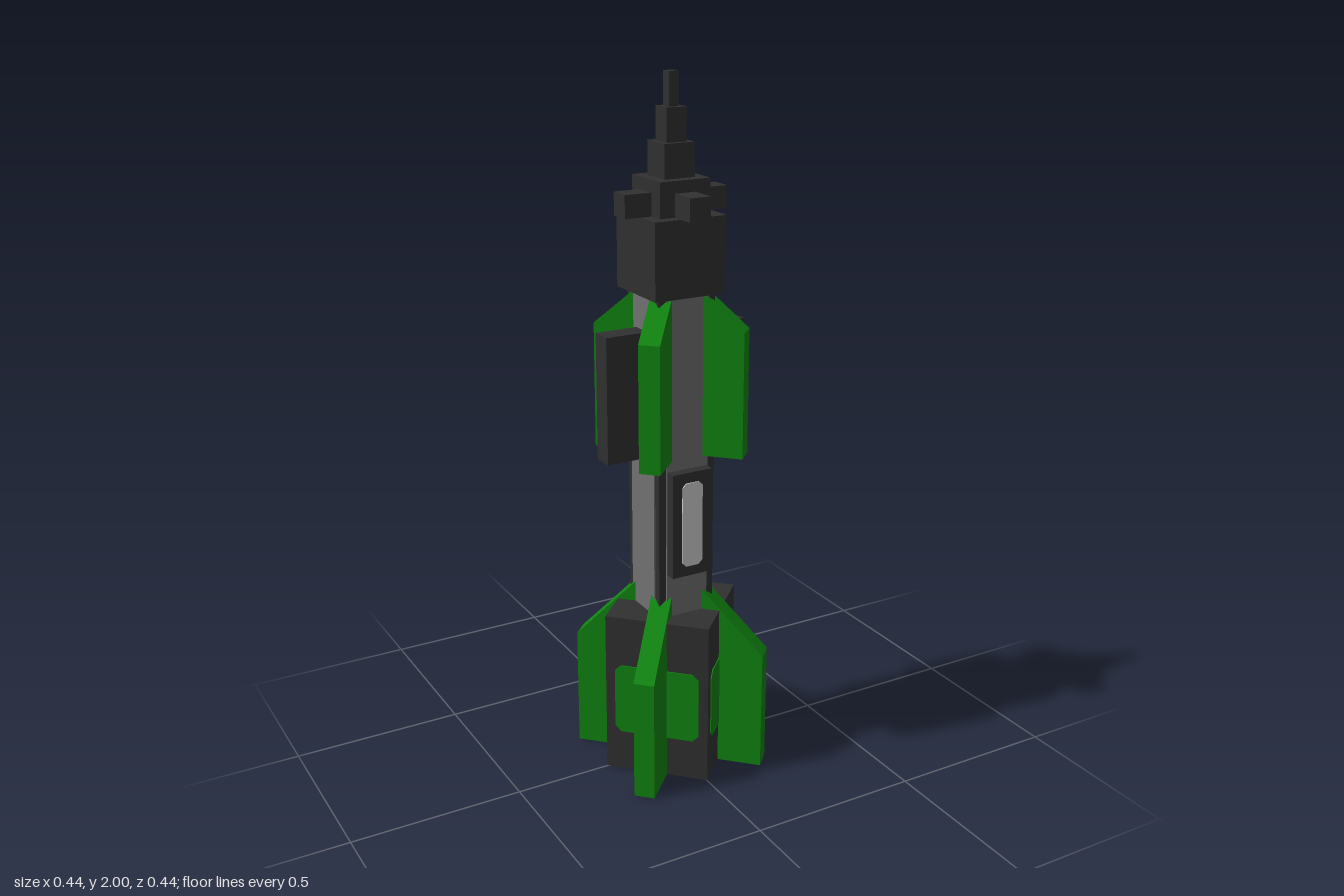
import * as THREE from 'three';

const material = (name, color) => {
  const m = new THREE.MeshStandardMaterial({ color });
  m.name = name;
  return m;
};

export function createModel() {
  const dark = material('charcoal', 0x303030);
  const grey = material('midGrey', 0x707070);
  const light = material('paleGrey', 0xcfcfcf);
  const green = material('green', 0x118411);

  const root = new THREE.Group();
  root.name = 'rocket';

  const add = (parent, name, geometry, mat, x = 0, y = 0, z = 0) => {
    const mesh = new THREE.Mesh(geometry, mat);
    mesh.name = name;
    mesh.position.set(x, y, z);
    parent.add(mesh);
    return mesh;
  };

  // Box given by its width, depth and vertical span
  const box = (parent, name, mat, w, d, y0, y1, x = 0, z = 0) =>
    add(parent, name, new THREE.BoxGeometry(w, y1 - y0, d), mat, x, (y0 + y1) / 2, z);

  // Thin upright plate with clipped corners, facing +z
  const plate = (parent, name, mat, w, y0, y1, clip, z, depth = 0.005) => {
    const a = w / 2, b = (y1 - y0) / 2;
    const pts = [[-a + clip, -b], [a - clip, -b], [a, -b + clip], [a, b - clip],
      [a - clip, b], [-a + clip, b], [-a, b - clip], [-a, -b + clip]];
    const shape = new THREE.Shape(pts.map(p => new THREE.Vector2(...p)));
    const geo = new THREE.ExtrudeGeometry(shape, { depth, bevelEnabled: false });
    return add(parent, name, geo, mat, 0, (y0 + y1) / 2, z);
  };

  // Fin in the local x/y plane, reaching outwards along +x
  const fin = (parent, name, inner, outer, bottom, shoulder, top) => {
    const t = 0.06, tip = 0.1;
    const shape = new THREE.Shape([[inner, bottom], [outer, bottom], [outer, shoulder],
      [tip, top], [inner, top]].map(p => new THREE.Vector2(...p)));
    const geo = new THREE.ExtrudeGeometry(shape, { depth: t, bevelEnabled: false });
    return add(parent, name, geo, green, 0, 0, -t / 2);
  };

  // Diamond-set engine block with an eight-sided nozzle cover
  const side = 0.305;
  box(root, 'engineBlock', dark, side, side, 0.002, 0.49).rotation.y = Math.PI / 4;
  add(root, 'nozzle', new THREE.CylinderGeometry(0.066, 0.066, 0.006, 8), grey, 0, 0.003, 0);

  // Column: dark core with grey faces, leaving dark corners
  box(root, 'columnCore', dark, 0.174, 0.174, 0.48, 1.42);
  for (let i = 0; i < 4; i++) {
    const face = new THREE.Group();
    face.name = 'columnSide';
    face.rotation.y = i * Math.PI / 2;
    root.add(face);
    box(face, 'columnFace', grey, 0.13, 0.01, 0.48, 1.42, 0, 0.086);

    // Framed windows on the front and back
    if (i % 2 === 0) {
      box(face, 'windowFrame', dark, 0.124, 0.04, 0.62, 0.93, 0, 0.1);
      plate(face, 'window', light, 0.064, 0.65, 0.9, 0.012, 0.118);
    } else {
      // Side pods
      box(face, 'sidePod', dark, 0.062, 0.14, 0.96, 1.32, 0, 0.145);
    }

    // Hatch on the back
    if (i === 2) {
      box(face, 'hatchFrame', dark, 0.1, 0.006, 0.955, 1.2, 0, 0.091);
      plate(face, 'hatch', light, 0.094, 0.975, 1.165, 0.004, 0.092);
      box(face, 'hatchLatch', grey, 0.045, 0.004, 1.0, 1.026, 0, 0.097);
    }

    // Mast arms
    box(face, 'mastArm', dark, 0.062, 0.095, 1.632, 1.695, 0, 0.1075);
  }

  // Fins and painted engine panels on the four diagonals
  for (let i = 0; i < 4; i++) {
    const quarter = new THREE.Group();
    quarter.name = 'finGroup';
    quarter.rotation.y = Math.PI / 4 + i * Math.PI / 2;
    root.add(quarter);
    fin(quarter, 'lowerFin', 0.06, 0.282, 0, 0.36, 0.55);
    fin(quarter, 'upperFin', 0.06, 0.213, 0.96, 1.32, 1.418);
    const panelMount = new THREE.Group();
    panelMount.name = 'panelMount';
    panelMount.rotation.y = Math.PI / 2;
    quarter.add(panelMount);
    plate(panelMount, 'enginePanel', green, 0.25, 0.125, 0.34, 0.018, side / 2 - 0.002);
  }

  // Head and stepped spire
  box(root, 'head', dark, 0.216, 0.216, 1.42, 1.632);
  [[0.152, 1.632, 1.728], [0.092, 1.728, 1.82], [0.06, 1.82, 1.91], [0.03, 1.91, 2]]
    .forEach(([w, y0, y1]) => box(root, 'spireStep', dark, w, w, y0, y1));

  return root;
}
